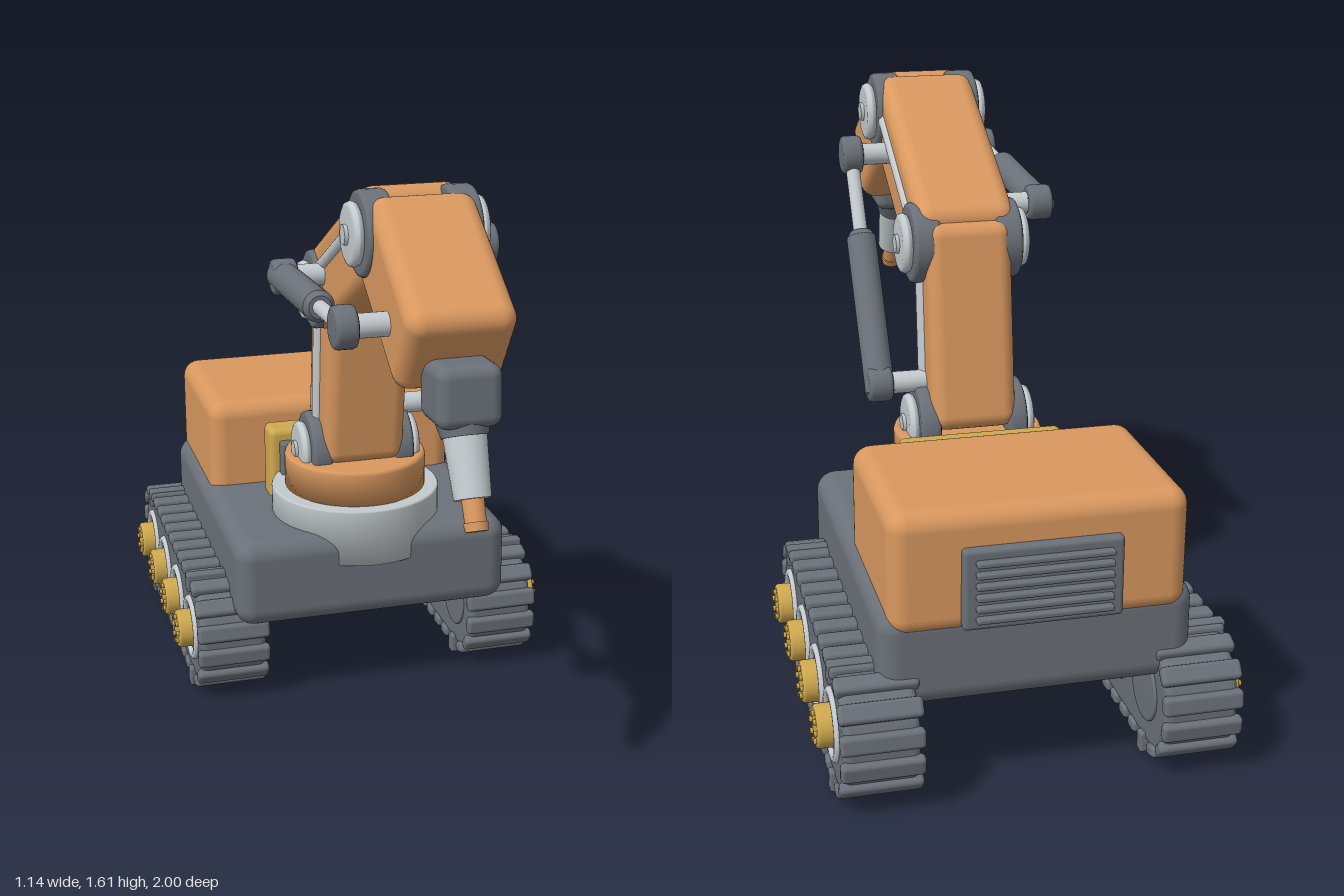
import * as THREE from 'three';
import { RoundedBoxGeometry } from 'three/addons/geometries/RoundedBoxGeometry.js';

const mat = (name, color) => {
  const m = new THREE.MeshStandardMaterial({ color });
  m.name = name;
  return m;
};

export function createModel() {
  const root = new THREE.Group();
  root.name = 'trackedRobotArm';
  const orange = mat('orangePaint', 0xd9985f);
  const dark = mat('darkGrey', 0x6b7179);
  const light = mat('lightSteel', 0xc3cacd);
  const gold = mat('gold', 0xcfa94f);
  const V = (x, y, z) => new THREE.Vector3(x, y, z);

  const add = (name, geo, material, x = 0, y = 0, z = 0, parent = root) => {
    const m = new THREE.Mesh(geo, material);
    m.name = name;
    m.position.set(x, y, z);
    parent.add(m);
    return m;
  };
  const rbox = (name, w, h, d, r, material, x, y, z, parent) =>
    add(name, new RoundedBoxGeometry(w, h, d, 4, r), material, x, y, z, parent);

  // Cylinder or cone running from a to b
  const rod = (name, a, b, r, material, r2 = r, sides = 28, parent = root) => {
    const m = add(name, new THREE.CylinderGeometry(r2, r, a.distanceTo(b), sides), material, 0, 0, 0, parent);
    m.position.copy(a).lerp(b, 0.5);
    m.quaternion.setFromUnitVectors(V(0, 1, 0), b.clone().sub(a).normalize());
    return m;
  };
  // Disc along x with softened rims
  const disc = (name, x0, x1, r, y, z, material, bevel = 0.012, parent = root) => {
    const l = Math.abs(x1 - x0);
    const p = [[0, 0], [r - bevel, 0], [r - bevel * 0.3, bevel * 0.3], [r, bevel],
      [r, l - bevel], [r - bevel * 0.3, l - bevel * 0.3], [r - bevel, l], [0, l]];
    const g = new THREE.LatheGeometry(p.map(q => new THREE.Vector2(...q)), 36);
    const m = add(name, g, material, x0, y, z, parent);
    m.rotation.z = x1 > x0 ? -Math.PI / 2 : Math.PI / 2;
    return m;
  };
  // Rounded box beam between two joints, extended at both ends
  const beam = (name, a, b, w, h, r, ea, eb, material) => {
    const dir = b.clone().sub(a).normalize();
    const s = a.clone().addScaledVector(dir, -ea), e = b.clone().addScaledVector(dir, eb);
    const m = rbox(name, w, h, s.distanceTo(e), r, material, 0, 0, 0);
    m.position.copy(s).lerp(e, 0.5);
    m.lookAt(e);
    return m;
  };

  // Chassis and engine housing
  rbox('chassis', 0.82, 0.265, 1.0, 0.055, dark, 0, 0.388, -0.41);
  rbox('engineHousing', 0.77, 0.33, 0.52, 0.05, orange, 0, 0.62, -0.66);

  // Rear ventilation grille
  rbox('ventPanel', 0.41, 0.215, 0.04, 0.012, dark, 0, 0.583, -0.925);
  for (let i = 0; i < 6; i++)
    rbox('ventSlat', 0.35, 0.016, 0.024, 0.006, dark, 0, 0.508 + i * 0.03, -0.955);

  // Turntable
  const turn = (name, r, y0, y1, b, material) => add(name, new THREE.LatheGeometry(
    [[0, y0], [r, y0], [r, y1 - b], [r - b * 0.3, y1 - b * 0.3], [r - b, y1], [0, y1]]
      .map(q => new THREE.Vector2(...q)), 56), material, 0, 0, -0.135);
  turn('turntableRing', 0.25, 0.43, 0.6, 0.006, light);
  turn('turntableCap', 0.21, 0.6, 0.705, 0.012, orange);
  rbox('counterPlate', 0.4, 0.14, 0.05, 0.008, dark, 0, 0.63, -0.26);
  rbox('counterBlock', 0.46, 0.25, 0.093, 0.02, gold, 0, 0.61, -0.315);

  // Arm segments
  const A = V(0, 0.72, -0.13), B = V(0, 1.225, -0.06), C = V(0, 1.5, 0.45), D = V(0, 1.265, 0.815);
  beam('lowerArm', A, B, 0.24, 0.235, 0.04, 0.01, 0.06, orange);
  beam('upperArm', B, C, 0.28, 0.25, 0.045, 0.04, 0.03, orange);
  beam('forearm', C, D, 0.28, 0.26, 0.045, 0.02, -0.005, orange);

  // Joint discs, hub covers and hex bolts, on both sides
  const joints = [['shoulder', A, 0.095], ['elbow', B, 0.075], ['wristJoint', C, 0.075]];
  for (const [name, p, inner] of joints) for (const s of [-1, 1]) {
    disc(name + 'Disc', s * inner, s * 0.153, 0.112, p.y, p.z, dark);
    disc(name + 'Cover', s * 0.15, s * 0.18, 0.084, p.y, p.z, light, 0.014);
    rod(name + 'Bolt', V(s * 0.178, p.y, p.z), V(s * 0.19, p.y, p.z), 0.028, light, 0.028, 6);
  }

  // Side link rods along the arm
  for (const s of [-1, 1]) {
    rod('lowerLink', V(s * 0.112, 0.74, -0.12), V(s * 0.112, 1.2, -0.075), 0.024, light);
    rod('upperLink', V(s * 0.13, 1.28, -0.04), V(s * 0.13, 1.5, 0.37), 0.022, light);
  }

  // Hydraulic rams: pinned at both ends, barrel then rod
  const ram = (name, a, b, split, side) => {
    const mid = a.clone().lerp(b, split);
    const back = a.clone().lerp(b, -0.04);
    rod(name + 'Barrel', back, mid, 0.042, dark);
    rod(name + 'BarrelRim', mid, a.clone().lerp(b, split + 0.025), 0.042, dark, 0.03);
    rod(name + 'Rod', mid, b, 0.02, light);
    for (const p of [a, b]) {
      rod(name + 'Pin', V(side * 0.1, p.y, p.z), V(side * 0.23, p.y, p.z), 0.031, light);
    }
    disc(name + 'BaseEye', side * 0.215, side * 0.285, 0.05, a.y, a.z, dark);
    disc(name + 'RodEye', side * 0.22, side * 0.28, 0.055, b.y, b.z, dark);
  };
  ram('leftRam', V(0.25, 0.84, -0.12), V(0.25, 1.41, 0.268), 0.63, 1);
  ram('rightRam', V(-0.25, 1.295, 0.045), V(-0.25, 1.33, 0.685), 0.62, -1);

  // Wrist and tool
  const wrist = rbox('wristBlock', 0.165, 0.155, 0.165, 0.03, dark, 0, 1.195, 0.838);
  wrist.rotation.x = -0.06;
  rod('wristCollar', V(0, 1.15, 0.845), V(0, 1.09, 0.872), 0.075, dark, 0.058);
  rod('toolBarrel', V(0, 1.12, 0.858), V(0, 0.955, 0.938), 0.056, light, 0.046);
  rod('toolTip', V(0, 0.965, 0.933), V(0, 0.9, 0.966), 0.028, orange, 0.027);
  rod('toolTipRim', V(0, 0.905, 0.963), V(0, 0.885, 0.973), 0.031, orange, 0.028);

  // Track outline in the side plane
  const hw = 0.508, hh = 0.155, cr = 0.135;
  const outline = k => {
    const s = new THREE.Shape(), w = hw - k, h = hh - k, r = cr - k, q = Math.PI / 2;
    s.moveTo(-w + r, -h);
    s.lineTo(w - r, -h);
    s.absarc(w - r, -h + r, r, -q, 0);
    s.lineTo(w, h - r);
    s.absarc(w - r, h - r, r, 0, q);
    s.lineTo(-w + r, h);
    s.absarc(-w + r, h - r, r, q, 2 * q);
    s.lineTo(-w, -h + r);
    s.absarc(-w + r, -h + r, r, 2 * q, 3 * q);
    return s;
  };
  const cy = 0.188, cz = -0.472, cx = 0.415;

  const track = side => {
    const g = new THREE.Group();
    g.name = side > 0 ? 'leftTrack' : 'rightTrack';
    root.add(g);

    // Belt body
    const body = new THREE.ExtrudeGeometry(outline(0.02), {
      depth: 0.155, bevelEnabled: true, bevelSize: 0.02, bevelThickness: 0.02, bevelSegments: 4, curveSegments: 10,
    });
    body.translate(0, 0, -0.0775);
    body.rotateY(-Math.PI / 2);
    add('trackBelt', body, dark, side * cx, cy, cz, g);

    // Tread pads around the belt
    const path = outline(0), n = 32;
    const pad = new RoundedBoxGeometry(0.215, 0.034, 0.052, 2, 0.012);
    for (let i = 0; i < n; i++) {
      const u = (i + 0.5) / n, p = path.getPointAt(u), t = path.getTangentAt(u);
      const m = add('treadPad', pad, dark, side * cx, cy + p.y, cz + p.x, g);
      m.rotation.x = -Math.atan2(t.y, t.x);
    }
    // Wider cross bars
    for (const z of [-0.115, -0.815]) for (const y of [0.03, 0.338])
      rbox('crossBar', 0.222, 0.056, 0.034, 0.006, dark, side * cx, y, z, g);

    // Road wheels: steel ring, gold hub and studs, inner cap
    for (let i = 0; i < 4; i++) {
      const z = -0.116 - i * 0.2333, y = 0.19;
      const ring = add('wheelRing', new THREE.TorusGeometry(0.086, 0.012, 10, 40), light, side * 0.513, y, z, g);
      ring.rotation.y = Math.PI / 2;
      disc('wheelHub', side * 0.5, side * 0.56, 0.057, y, z, gold, 0.008, g);
      for (let k = 0; k < 8; k++) {
        const a = k * Math.PI / 4, sy = y + 0.038 * Math.sin(a), sz = z + 0.038 * Math.cos(a);
        rod('hubStud', V(side * 0.555, sy, sz), V(side * 0.568, sy, sz), 0.008, gold, 0.008, 8, g);
      }
      disc('innerWheelCap', side * 0.34, side * 0.31, 0.09, y, z, dark, 0.006, g);
    }
  };
  track(1);
  track(-1);

  return root;
}
